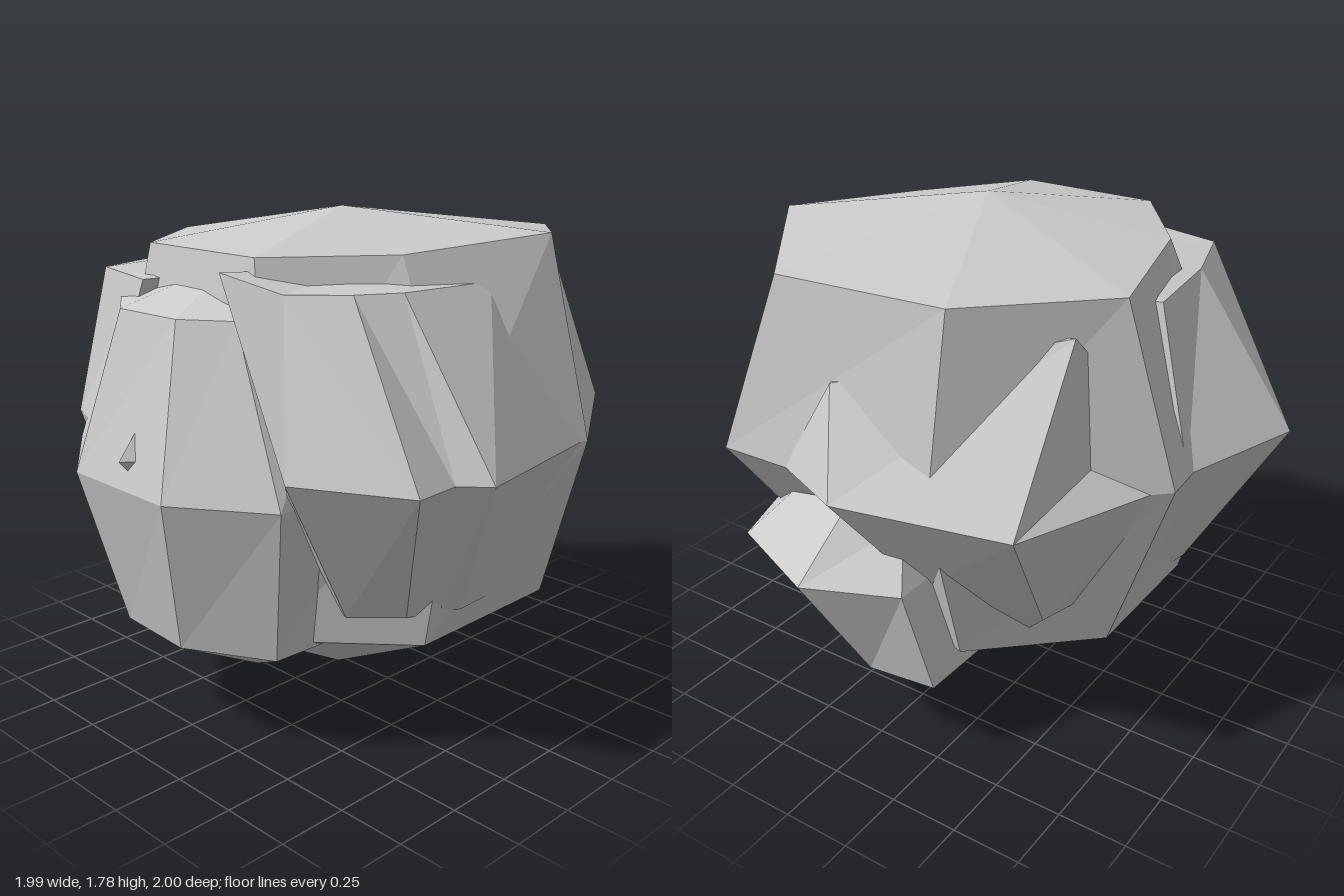
import * as THREE from 'three';

const material = new THREE.MeshStandardMaterial({ color: 0xcccccc, flatShading: true });

// A faceted boulder: bottom tip, rings from low to high, top tip.
// Each ring is [height, [x, z, optional own height], ...], running from +x round to +z.
function boulder(name, bottom, rings, top) {
  const n = rings[0].length - 1;
  const rows = rings.map(([y, ...pts]) => pts.map(([x, z, own]) => [x, own ?? y, z]));
  const pos = [];
  const tri = (...corners) => corners.forEach((c) => pos.push(...c));
  for (let j = 0; j < n; j++) {
    const k = (j + 1) % n;
    tri(rows[0][k], bottom, rows[0][j]);
    for (let i = 0; i < rows.length - 1; i++) {
      const lo = rows[i], hi = rows[i + 1];
      tri(lo[k], lo[j], hi[j]);
      tri(lo[k], hi[j], hi[k]);
    }
    const last = rows[rows.length - 1];
    tri(last[k], last[j], top);
  }
  const geometry = new THREE.BufferGeometry();
  geometry.setAttribute('position', new THREE.Float32BufferAttribute(pos, 3));
  geometry.computeVertexNormals();
  const mesh = new THREE.Mesh(geometry, material);
  mesh.name = name;
  return mesh;
}

export function createModel() {
  const group = new THREE.Group();
  group.name = 'rock';

  // Central boulder with the broad, nearly flat top
  group.add(boulder('coreBoulder', [-0.03, 0, 0.01], [
    [0.39, [0.43, 0.42, 0.43], [0.31, 0.71, 0.41], [-0.3, 0.69], [-0.66, 0.28],
      [-0.66, -0.28], [-0.28, -0.65], [0.28, -0.65], [0.63, -0.27]],
    [1.03, [0.83, 0.56], [0.26, 0.91], [-0.3, 0.8], [-0.73, 0.4],
      [-0.77, -0.33], [-0.32, -0.82], [0.26, -0.86], [0.81, -0.28]],
    [1.67, [0.74, 0.35], [0.25, 0.73, 1.71], [-0.28, 0.55], [-0.65, 0.27],
      [-0.65, -0.26], [-0.28, -0.53], [0.26, -0.66, 1.65], [0.69, -0.28]],
  ], [-0.1, 1.78, 0.1]));

  // Slab on the front, with a stepped corner towards -x
  group.add(boulder('frontSlab', [-0.3, 0.38, 0.3], [
    [0.5, [0.15, 0.45], [0.25, 0.72], [-0.18, 0.74], [-0.25, 0.71], [-0.36, 0.66], [-0.5, 0.52], [-0.3, 0.1]],
    [1.03, [0.28, 0.6], [0.25, 0.9], [-0.35, 1.0], [-0.43, 0.91], [-0.6, 0.92], [-0.79, 0.55], [-0.4, 0.1]],
    [1.57, [0.02, 0.5], [0, 0.68], [-0.36, 0.63], [-0.5, 0.55], [-0.65, 0.4], [-0.75, 0.22, 1.63], [-0.3, 0.1]],
  ], [-0.3, 1.61, 0.35]));

  // Slab on the back
  group.add(boulder('backSlab', [-0.3, 0.38, -0.3], [
    [0.46, [-0.2, -0.1], [-0.62, -0.25], [-0.6, -0.5], [-0.25, -0.68], [0.1, -0.62], [0.15, -0.3]],
    [1.03, [-0.2, -0.1], [-0.85, -0.3], [-0.72, -0.64], [-0.36, -1.0], [0.13, -0.84], [0.25, -0.4]],
    [1.56, [-0.2, -0.1], [-0.73, -0.2], [-0.65, -0.53], [-0.35, -0.62], [0.02, -0.66], [0.1, -0.4]],
  ], [-0.25, 1.6, -0.35]));

  // Wedge sticking out between the +x side and the back
  group.add(boulder('cornerWedge', [0.42, 0.36, -0.35], [
    [0.57, [0.68, -0.15, 0.64], [0.4, 0.1], [0.1, -0.3], [0.15, -0.64], [0.53, -0.54]],
    [1.03, [0.94, 0.01], [0.82, 0.3], [0, -0.3], [0.22, -0.84], [0.81, -0.6]],
    [1.36, [0.77, 0.12], [0.5, 0.2], [0.1, -0.3], [0.15, -0.68, 1.2], [0.42, -0.57, 1.55]],
  ], [0.38, 1.5, -0.35]));

  // Boulder on the -x side
  group.add(boulder('sideBoulder', [-0.44, 0.13, 0], [
    [0.37, [-0.05, 0], [-0.3, 0.42], [-0.7, 0.4], [-0.86, 0.1], [-0.84, -0.22], [-0.6, -0.5], [-0.25, -0.45]],
    [0.93, [0, 0], [-0.35, 0.5], [-0.78, 0.52], [-0.99, 0.2], [-0.98, -0.28], [-0.72, -0.64], [-0.2, -0.5]],
    [1.48, [-0.1, 0], [-0.35, 0.35], [-0.72, 0.26], [-0.83, 0.1], [-0.84, -0.18], [-0.68, -0.4], [-0.3, -0.4]],
  ], [-0.5, 1.62, -0.02]));

  // Small spur on the -x side
  group.add(boulder('sideSpur', [-0.9, 0.92, 0], [
    [1.03, [-0.8, 0], [-0.88, 0.09], [-1.0, 0], [-0.88, -0.1]],
  ], [-0.88, 1.18, 0]));

  // Low boulder on the +x side
  group.add(boulder('lowBoulder', [0.42, 0.13, 0.13], [
    [0.31, [0.79, 0], [0.6, 0.46], [0.25, 0.42], [0.2, 0.1], [0.4, -0.26], [0.76, -0.25]],
    [0.71, [0.99, 0.12], [0.83, 0.5], [0.42, 0.64], [0.15, 0.3], [0.35, -0.2], [0.85, -0.2]],
    [0.88, [0.78, 0.08, 0.92], [0.7, 0.36], [0.48, 0.5], [0.2, 0.2], [0.35, -0.1], [0.7, -0.1]],
  ], [0.52, 1.03, 0.22]));

  return group;
}
